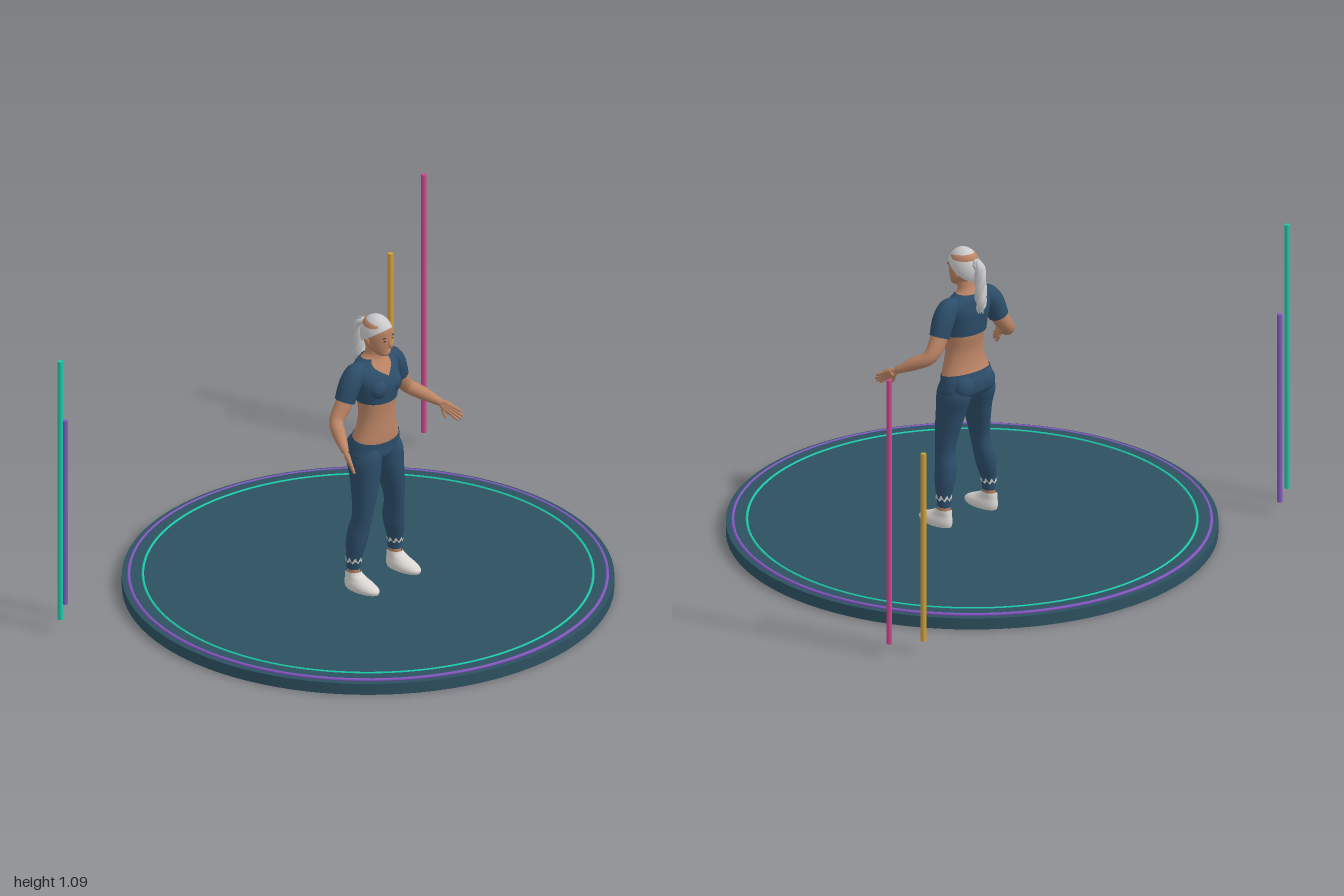
import * as THREE from 'three';

const mat = (name, color, side = THREE.FrontSide) => {
  const m = new THREE.MeshStandardMaterial({ color, side });
  m.name = name;
  return m;
};

// Closed-around surface: f(angle, t) gives a point, t runs along the length
function grid(cols, rows, f) {
  const pos = [], idx = [];
  for (let j = 0; j <= rows; j++) {
    for (let i = 0; i < cols; i++) {
      pos.push(...f((i / cols) * Math.PI * 2, j / rows).toArray());
      if (j === rows) continue;
      const a = j * cols + i, b = j * cols + (i + 1) % cols;
      idx.push(a, b, b + cols, a, b + cols, a + cols);
    }
  }
  const g = new THREE.BufferGeometry();
  g.setAttribute('position', new THREE.Float32BufferAttribute(pos, 3));
  g.setIndex(idx);
  g.computeVertexNormals();
  return g;
}

// Smooth interpolation of cross-sections [y, cx, cz, rx, rz]
function sample(rows, y) {
  let i = 0;
  while (i < rows.length - 2 && y > rows[i + 1][0]) i++;
  const p = rows[Math.max(i - 1, 0)], a = rows[i], b = rows[i + 1], q = rows[Math.min(i + 2, rows.length - 1)];
  const h = b[0] - a[0], t = THREE.MathUtils.clamp((y - a[0]) / h, 0, 1), t2 = t * t, t3 = t2 * t;
  return a.map((v, k) => {
    const m0 = (b[k] - p[k]) / (b[0] - p[0]) * h, m1 = (q[k] - v) / (q[0] - a[0]) * h;
    return (2 * t3 - 3 * t2 + 1) * v + (t3 - 2 * t2 + t) * m0 + (3 * t2 - 2 * t3) * b[k] + (t3 - t2) * m1;
  });
}

// Band of a body profile between the heights lo(angle) and hi(angle)
function patch(rows, lo, hi, { offset = 0, side = 1, cols = 40, steps = 28 } = {}) {
  return grid(cols, steps, (a, t) => {
    const y0 = typeof lo === 'function' ? lo(a) : lo, y1 = typeof hi === 'function' ? hi(a) : hi;
    const y = y0 + (y1 - y0) * t, [, cx, cz, rx, rz] = sample(rows, y);
    return new THREE.Vector3(side * cx + (rx + offset) * Math.sin(a), y, cz + (rz + offset) * Math.cos(a));
  });
}

// Round limb through points [x, y, z, radius], mirrored by side
function limb(points, side = 1, cols = 16, steps = 20) {
  const curve = new THREE.CatmullRomCurve3(points.map(p => new THREE.Vector3(side * p[0], p[1], p[2])));
  const radii = new THREE.CatmullRomCurve3(points.map(p => new THREE.Vector3(p[3], 0, 0)));
  const ref = new THREE.Vector3(side, 0, 1);
  return grid(cols, steps, (a, t) => {
    const T = curve.getTangent(t), B = T.clone().cross(ref).normalize(), N = B.clone().cross(T);
    const r = Math.max(radii.getPoint(t).x, 0.0003);
    return curve.getPoint(t).addScaledVector(N, r * Math.cos(a)).addScaledVector(B, r * Math.sin(a));
  });
}

const ball = (x, y, z, rx, ry, rz) => new THREE.SphereGeometry(1, 20, 14).scale(rx, ry, rz).translate(x, y, z);

const TORSO = [
  [0.53, 0, 0.03, 0.07, 0.04], [0.55, 0, 0.028, 0.108, 0.065], [0.59, 0, 0.028, 0.107, 0.069],
  [0.62, 0, 0.033, 0.099, 0.066], [0.66, 0, 0.038, 0.085, 0.06], [0.71, 0, 0.04, 0.076, 0.057],
  [0.765, 0, 0.038, 0.08, 0.062], [0.82, 0, 0.038, 0.09, 0.066], [0.86, 0, 0.032, 0.1, 0.062],
  [0.89, 0, 0.025, 0.098, 0.05], [0.91, 0, 0.02, 0.072, 0.042], [0.925, 0, 0.022, 0.046, 0.036],
  [0.94, 0, 0.028, 0.034, 0.031], [0.97, 0, 0.035, 0.031, 0.03],
];
const LEG = [
  [0.1, 0.113, 0.028, 0.021, 0.025], [0.13, 0.112, 0.028, 0.023, 0.026], [0.16, 0.112, 0.03, 0.025, 0.028],
  [0.22, 0.103, 0.033, 0.033, 0.04], [0.27, 0.095, 0.037, 0.034, 0.042], [0.32, 0.088, 0.047, 0.032, 0.04],
  [0.36, 0.083, 0.049, 0.035, 0.043], [0.42, 0.073, 0.046, 0.042, 0.052], [0.48, 0.064, 0.04, 0.05, 0.06],
  [0.53, 0.06, 0.032, 0.056, 0.068], [0.56, 0.056, 0.03, 0.055, 0.068], [0.6, 0.05, 0.03, 0.04, 0.055],
];
const SHOE = [
  [0.05, 0.113, 0.069, 0.034, 0.073], [0.062, 0.113, 0.069, 0.037, 0.076], [0.075, 0.113, 0.061, 0.035, 0.068],
  [0.09, 0.113, 0.045, 0.029, 0.05], [0.105, 0.113, 0.031, 0.026, 0.035], [0.115, 0.113, 0.028, 0.025, 0.03],
];
const HEAD = [
  [0.938, 0, 0.074, 0.008, 0.01], [0.945, 0, 0.069, 0.023, 0.026], [0.965, 0, 0.055, 0.037, 0.042],
  [0.99, 0, 0.045, 0.045, 0.055], [1.02, 0, 0.043, 0.048, 0.058], [1.05, 0, 0.041, 0.045, 0.056],
  [1.07, 0, 0.038, 0.033, 0.043], [1.081, 0, 0.038, 0.01, 0.014],
];

export function createModel() {
  const model = new THREE.Group();
  const M = {
    floor: mat('slate floor', 0x2d5160),
    teal: mat('teal glow', 0x1cc9a8),
    purple: mat('purple glow', 0x8457c0),
    gold: mat('gold glow', 0xd0a038),
    pink: mat('pink glow', 0xd44590),
    cloth: mat('navy cloth', 0x2c4d69, THREE.DoubleSide),
    skin: mat('skin', 0xbb8465),
    hair: mat('silver hair', 0xcbcbcd),
    shoe: mat('off-white shoe', 0xd9d6d2),
    dark: mat('dark brown', 0x4a3530),
  };
  const add = (name, geometry, material, parent = model) => {
    const mesh = new THREE.Mesh(geometry, material);
    mesh.name = name;
    parent.add(mesh);
    return mesh;
  };
  const group = name => {
    const g = new THREE.Group();
    g.name = name;
    model.add(g);
    return g;
  };

  // Round stage with two inlaid rings
  const stage = group('stage');
  add('stageBase', new THREE.CylinderGeometry(0.875, 0.875, 0.043, 96).translate(0, 0.0215, 0), M.floor, stage);
  add('stageFloor', new THREE.CylinderGeometry(0.845, 0.845, 0.01, 96).translate(0, 0.045, 0), M.floor, stage);
  const ring = (name, r, tube, y, m) =>
    add(name, new THREE.TorusGeometry(r, tube, 8, 120).rotateX(Math.PI / 2).translate(0, y, 0), m, stage);
  ring('outerRing', 0.85, 0.006, 0.047, M.purple);
  ring('innerRing', 0.8, 0.005, 0.049, M.teal);

  // Upright light poles behind the stage
  for (const [name, x, z, top, m] of [
    ['tealPole', -0.99, -0.59, 1.07, M.teal], ['purplePole', -0.886, -0.657, 0.775, M.purple],
    ['goldPole', 0.886, -0.657, 0.775, M.gold], ['pinkPole', 0.99, -0.59, 1.07, M.pink],
  ]) add(name, new THREE.CylinderGeometry(0.01, 0.01, top - 0.05, 16).translate(x, (top + 0.05) / 2, z), m);

  // Torso, cropped top with a V neck, and trousers waist
  const body = group('body');
  const around = a => Math.min(a, Math.PI * 2 - a);
  add('torso', patch(TORSO, 0.56, 0.97, { steps: 48 }), M.skin, body);
  add('top', patch(TORSO, a => 0.769 - 0.005 * Math.cos(a), a => 0.926 - 0.062 * Math.max(0, 1 - around(a) / 0.85),
    { offset: 0.005, cols: 64, steps: 30 }), M.cloth, body);
  add('trousersWaist', patch(TORSO, 0.53, a => 0.62 - 0.012 * Math.cos(a), { offset: 0.003 }), M.cloth, body);

  for (const [label, s] of [['left', 1], ['right', -1]]) {
    add(label + 'Bust', ball(s * 0.038, 0.822, 0.074, 0.041, 0.042, 0.038), M.cloth, body);
    add(label + 'Seat', ball(s * 0.047, 0.577, -0.003, 0.05, 0.052, 0.043), M.cloth, body);

    // Leg, ankle, frilled cuff and shoe
    const leg = group(label + 'Leg');
    add('trouserLeg', patch(LEG, 0.125, 0.6, { side: s, steps: 40 }), M.cloth, leg);
    add('ankle', patch(LEG, 0.1, 0.14, { side: s, offset: -0.001, steps: 4 }), M.skin, leg);
    add('cuffFrill', patch(LEG, a => 0.155 + 0.005 * Math.cos(9 * a), a => 0.166 + 0.008 * Math.cos(9 * a + 0.9),
      { side: s, offset: 0.003, cols: 72, steps: 3 }), M.shoe, leg);
    add('shoe', patch(SHOE, 0.05, 0.115, { side: s, steps: 16 }), M.shoe, leg);

    // Sleeve, arm and hand
    const arm = group(label + 'Arm');
    add('sleeve', limb([[0.055, 0.893, 0.022, 0.024], [0.095, 0.884, 0.022, 0.037], [0.122, 0.85, 0.02, 0.04],
      [0.146, 0.792, 0.016, 0.037]], s, 24), M.cloth, arm);
    add('arm', limb([[0.115, 0.86, 0.02, 0.03], [0.15, 0.785, 0.016, 0.031], [0.193, 0.728, 0.018, 0.026],
      [0.225, 0.7, 0.06, 0.024], [0.262, 0.665, 0.12, 0.013], [0.27, 0.656, 0.131, 0.013]], s, 20, 32), M.skin, arm);
    const d = new THREE.Vector3(0.36, -0.52, 0.77), w = new THREE.Vector3(0.5, 0.8, 0.3);
    const wrist = new THREE.Vector3(0.262, 0.665, 0.12);
    const at = (along, across, r) => [...wrist.clone().addScaledVector(d, along).addScaledVector(w, across).toArray(), r];
    [-1.5, -0.5, 0.5, 1.5].forEach((k, i) => {
      const len = [0.084, 0.092, 0.089, 0.076][i];
      add('palm', limb([at(0, k * 0.004, 0.008), at(0.022, k * 0.007, 0.01), at(0.045, k * 0.008, 0.0075)], s, 10, 8), M.skin, arm);
      add('finger', limb([at(0.042, k * 0.008, 0.007), at(0.065, k * 0.01, 0.0058),
        at(len - 0.003, k * 0.011, 0.0045), at(len, k * 0.011, 0)], s, 10, 10), M.skin, arm);
    });
    add('thumb', limb([at(0.008, -0.004, 0.009), at(0.022, -0.022, 0.007), at(0.04, -0.034, 0.005),
      at(0.044, -0.036, 0)], s, 10, 10), M.skin, arm);
  }

  // Head and face
  const head = group('head');
  add('face', patch(HEAD, 0.938, 1.081, { steps: 36 }), M.skin, head);
  add('nose', limb([[0, 1.014, 0.097, 0.004], [0, 0.998, 0.103, 0.0055], [0, 0.985, 0.106, 0.0085],
    [0, 0.978, 0.099, 0.002]], 1, 12, 10), M.skin, head);
  add('upperLip', ball(0, 0.9655, 0.0955, 0.013, 0.003, 0.005), M.skin, head);
  add('lowerLip', ball(0, 0.959, 0.0935, 0.011, 0.0035, 0.005), M.skin, head);
  for (const s of [1, -1]) {
    add('eye', ball(s * 0.0185, 1.006, 0.095, 0.0075, 0.003, 0.003), M.dark, head);
    add('brow', ball(s * 0.02, 1.018, 0.095, 0.011, 0.002, 0.004), M.dark, head);
    add('ear', ball(s * 0.048, 0.996, 0.036, 0.005, 0.015, 0.01), M.skin, head);
  }

  // Swept-back hair and wavy ponytail
  add('hairCap', new THREE.SphereGeometry(1, 40, 20, 0, Math.PI * 2, 0, Math.PI * 0.5)
    .rotateX(-0.52).scale(0.052, 0.076, 0.066).translate(0, 1.012, 0.041), M.hair, head);
  add('hairTie', ball(0, 1.045, -0.022, 0.014, 0.014, 0.014), M.hair, head);
  for (let k = 0; k < 3; k++) {
    const phase = (k / 3) * Math.PI * 2;
    const lock = [[1.045, -0.018, 0.01], [1.03, -0.036, 0.012], [0.99, -0.042, 0.014], [0.95, -0.042, 0.015],
      [0.91, -0.045, 0.014], [0.88, -0.045, 0.01], [0.852, -0.043, 0.001]];
    add('ponytailLock', limb(lock.map(([y, z, r], i) => [
      0.009 * Math.cos(phase + i * 1.3), y + k * 0.004, z + 0.009 * Math.sin(phase + i * 1.3), r,
    ]), 1, 12, 36), M.hair, head);
  }
  return model;
}
